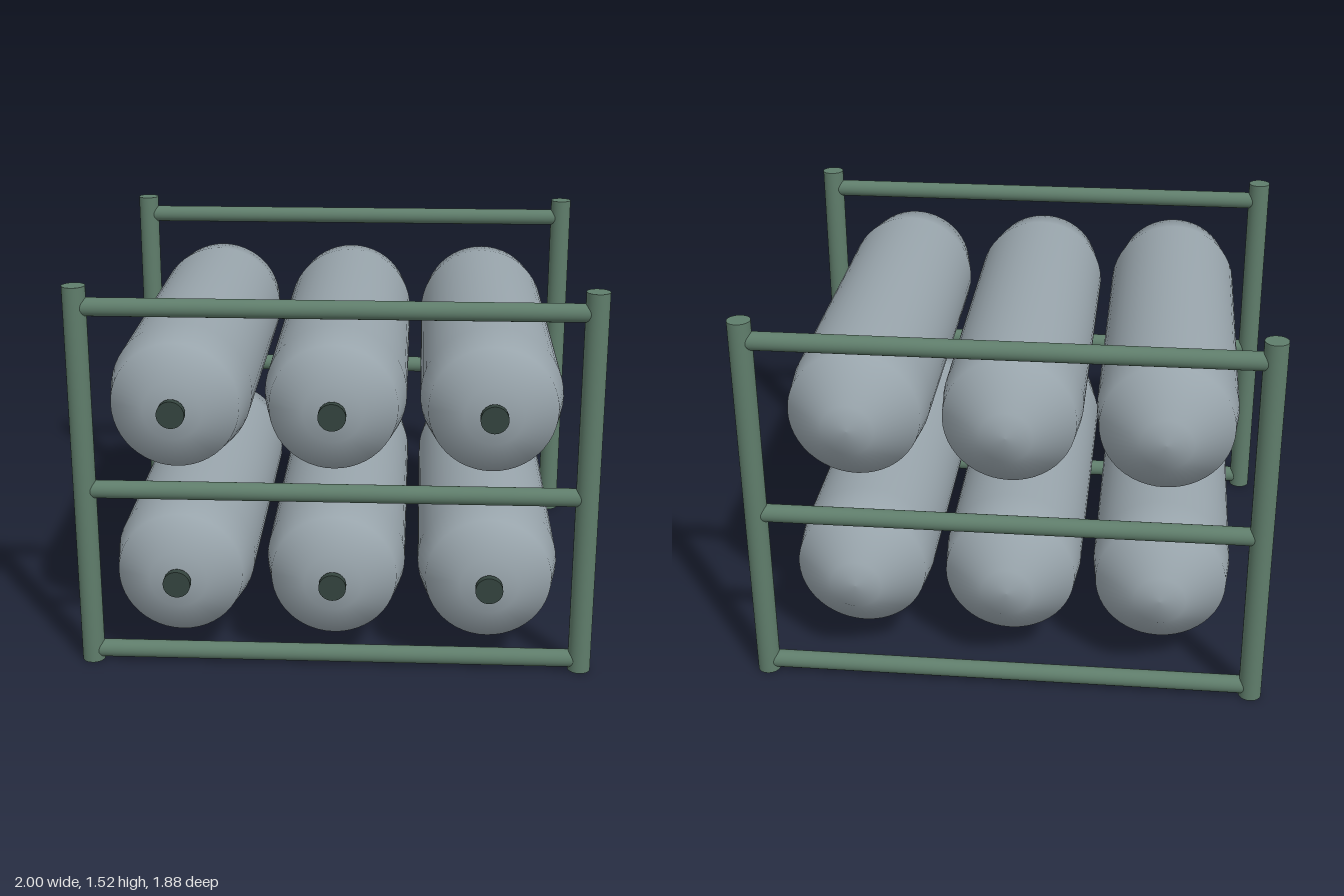
import * as THREE from 'three';

export function createModel() {
  const root = new THREE.Group();
  root.name = 'tankRack';

  const mat = (name, color) => {
    const m = new THREE.MeshStandardMaterial({ color });
    m.name = name;
    return m;
  };
  const frameGreen = mat('frameGreen', 0x5f7d6b);
  const tankGrey = mat('tankGrey', 0x98a4ab);
  const valveDark = mat('valveDark', 0x34443e);

  const add = (name, geometry, material, x, y, z) => {
    const mesh = new THREE.Mesh(geometry, material);
    mesh.name = name;
    mesh.position.set(x, y, z);
    root.add(mesh);
  };

  // Two end frames: a pair of posts joined by three rails
  const post = new THREE.CylinderGeometry(0.044, 0.044, 1.52, 32).translate(0, 0.76, 0);
  const rail = new THREE.CylinderGeometry(0.035, 0.035, 1.91, 32).rotateZ(Math.PI / 2);
  for (const [end, z] of [['front', 0.775], ['back', -0.897]]) {
    add(end + 'LeftPost', post, frameGreen, 0.956, 0, z);
    add(end + 'RightPost', post, frameGreen, -0.956, 0, z);
    add(end + 'LowerRail', rail, frameGreen, 0, 0.045, z);
    add(end + 'MiddleRail', rail, frameGreen, 0, 0.72, z);
    add(end + 'UpperRail', rail, frameGreen, 0, 1.44, z);
  }

  // Tank profile (radius, z) from back dome to front dome
  const profile = [
    [0, -0.89], [0.1, -0.88], [0.254, -0.745], [0.27, -0.59],
    [0.27, 0.655], [0.24, 0.825], [0.11, 0.895], [0, 0.897],
  ].map(([r, z]) => new THREE.Vector2(r, z));
  const tank = new THREE.LatheGeometry(profile, 48).rotateX(Math.PI / 2);
  const valve = new THREE.CylinderGeometry(0.052, 0.052, 0.03, 32).rotateX(Math.PI / 2);

  // Two rows of three tanks, each with a valve disc just ahead of it
  for (const [row, y] of [['lower', 0.402], ['upper', 1.08]]) {
    for (const [place, x] of [['Right', -0.59], ['Middle', 0], ['Left', 0.59]]) {
      add(row + place + 'Tank', tank, tankGrey, x, y, 0);
      add(row + place + 'Valve', valve, valveDark, x, y, 0.927);
    }
  }
  return root;
}
